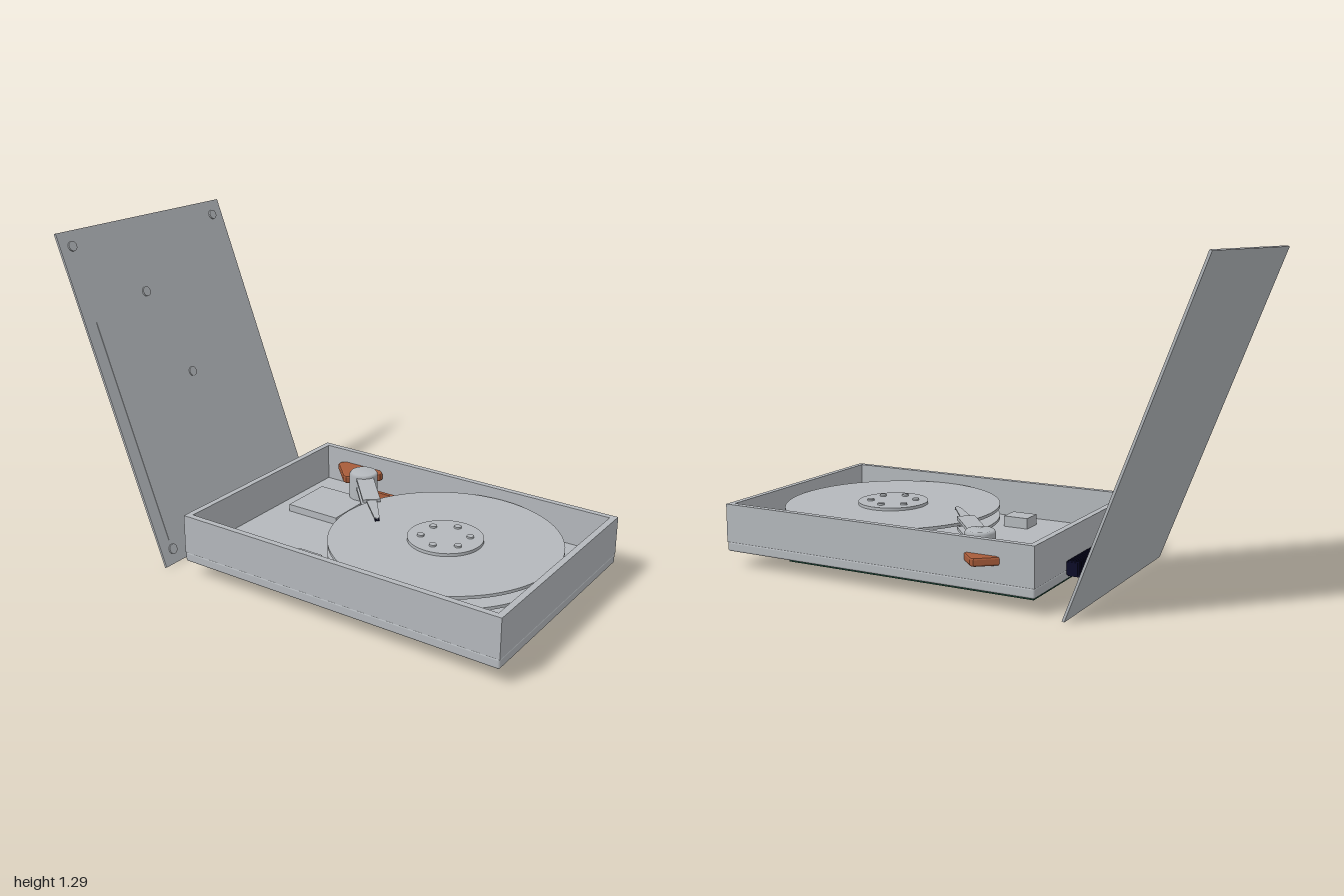
import * as THREE from 'three';
import { RoundedBoxGeometry } from 'three/addons/geometries/RoundedBoxGeometry.js';

export function createModel() {
  const root = new THREE.Group();
  const material = (name, color) => {
    const m = new THREE.MeshStandardMaterial({ color });
    m.name = name;
    return m;
  };
  const metal = material('aluminium grey', 0xb4b8bc);
  const copper = material('copper', 0xa85c3a);
  const green = material('circuit green', 0x14382a);
  const navy = material('connector navy', 0x0c0c28);

  const add = (parent, name, geometry, mat, x = 0, y = 0, z = 0) => {
    const mesh = new THREE.Mesh(geometry, mat);
    mesh.name = name;
    mesh.position.set(x, y, z);
    parent.add(mesh);
    return mesh;
  };
  // Box given by its limits on each axis
  const box = (parent, name, mat, [x0, x1], [y0, y1], [z0, z1], r = 0) => {
    const s = [x1 - x0, y1 - y0, z1 - z0];
    const g = r ? new RoundedBoxGeometry(...s, 2, r) : new THREE.BoxGeometry(...s);
    return add(parent, name, g, mat, (x0 + x1) / 2, (y0 + y1) / 2, (z0 + z1) / 2);
  };
  // Flat outline in x and z, extruded downwards from y = 0
  const plate = (points, depth, bevel = 0) => {
    const shape = new THREE.Shape(points.map(p => new THREE.Vector2(...p)));
    return new THREE.ExtrudeGeometry(shape, {
      depth, bevelEnabled: bevel > 0, bevelSize: bevel, bevelThickness: bevel, bevelSegments: 2, bevelOffset: -bevel
    }).rotateX(Math.PI / 2);
  };

  // Tray: base slab and surrounding wall
  const L = -0.51, R = 0.445, B = -0.385, F = 1, wall = 0.025;
  box(root, 'baseSlab', metal, [L, R], [0.065, 0.105], [B, F], 0.008);
  const rect = (path, i) => path.moveTo(L + i, B + i).lineTo(R - i, B + i).lineTo(R - i, F - i).lineTo(L + i, F - i).closePath();
  const frame = rect(new THREE.Shape(), 0);
  frame.holes.push(rect(new THREE.Path(), wall));
  add(root, 'trayWall', new THREE.ExtrudeGeometry(frame, { depth: 0.157, bevelEnabled: false }).rotateX(Math.PI / 2), metal, 0, 0.26, 0);
  box(root, 'circuitBoard', green, [-0.475, 0.41], [0.05, 0.066], [-0.365, 0.715]);

  // Raised blocks on the tray floor
  box(root, 'magnetBlock', metal, [0.03, 0.265], [0.1, 0.135], [-0.285, -0.045]);
  box(root, 'filterBlock', metal, [-0.39, -0.3], [0.1, 0.15], [0.015, 0.125]);
  box(root, 'ribbonCable', copper, [0.232, 0.248], [0.105, 0.195], [-0.02, 0.155]);

  // Rear connectors with rows of ribs
  for (const [x0, x1, n] of [[-0.31, -0.145, 10], [-0.11, 0.175, 18]]) {
    box(root, 'connector', navy, [x0, x1], [0.086, 0.136], [-0.43, -0.383]);
    const step = (x1 - x0) / n;
    for (let i = 0; i < n; i++) {
      const x = x0 + (i + 0.5) * step;
      box(root, 'connectorRib', navy, [x - step * 0.3, x + step * 0.3], [0.081, 0.141], [-0.436, -0.39]);
    }
  }

  // Platters, spindle and clamp screws
  const spindle = new THREE.Group();
  spindle.name = 'platterStack';
  spindle.position.set(-0.035, 0, 0.51);
  root.add(spindle);
  const cyl = (r, h, n = 48) => new THREE.CylinderGeometry(r, r, h, n);
  for (const y of [0.163, 0.213]) add(spindle, 'platter', cyl(0.448, 0.012, 96), metal, 0, y, 0);
  add(spindle, 'spindleHub', cyl(0.13, 0.12), metal, 0, 0.16, 0);
  add(spindle, 'hubClamp', cyl(0.146, 0.012, 64), metal, 0, 0.225, 0);
  for (let i = 0; i < 6; i++) {
    const a = i * Math.PI / 3;
    add(spindle, 'clampScrew', cyl(0.014, 0.008, 20), metal, 0.094 * Math.cos(a), 0.234, 0.094 * Math.sin(a));
  }

  // Actuator: pivot, two swing arms with heads
  const actuator = new THREE.Group();
  actuator.name = 'actuator';
  actuator.position.set(0.285, 0, -0.08);
  actuator.rotation.y = Math.atan2(-0.655, -0.756);
  root.add(actuator);
  const profile = [[0, 0.1], [0.056, 0.1], [0.06, 0.105], [0.06, 0.238], [0.052, 0.248], [0, 0.248]];
  add(actuator, 'pivot', new THREE.LatheGeometry(profile.map(p => new THREE.Vector2(...p)), 40), metal);
  for (const y of [0.236, 0.194]) {
    add(actuator, 'swingArm', plate([[0, -0.036], [0.27, -0.036], [0.27, 0.036], [0, 0.036]], 0.012), metal, 0, y, 0);
    add(actuator, 'armTip', plate([[0.26, -0.022], [0.43, -0.011], [0.45, 0], [0.43, 0.011], [0.26, 0.022]], 0.006), metal, 0, y - 0.003, 0);
    box(actuator, 'readHead', navy, [0.425, 0.448], [y - 0.014, y - 0.006], [-0.009, 0.009]);
  }

  // Voice coil passing through the side wall
  const coil = [[0.282, -0.17], [0.29, -0.19], [0.39, -0.285], [0.413, -0.285], [0.505, -0.172], [0.502, -0.155], [0.405, -0.062], [0.385, -0.062]];
  add(root, 'voiceCoil', plate(coil, 0.018, 0.008), copper, 0, 0.195, 0);

  // Cover leaning back behind the tray, with a raised panel and screws
  const lid = new THREE.Group();
  lid.name = 'cover';
  lid.position.set(0, 0.647, -0.745);
  lid.rotation.x = -Math.atan2(0.5, 1.295);
  root.add(lid);
  const along = y => (y - 0.647) * 1.388 / 1.295;
  box(lid, 'coverPlate', metal, [L, R], [-0.692, 0.692], [-0.005, 0.005]);
  box(lid, 'coverPanel', metal, [-0.455, 0.39], [along(0.09), along(0.945)], [0.004, 0.007]);
  for (const [x, y] of [[-0.45, 1.235], [0.382, 1.235], [-0.147, 1.005], [-0.035, 0.655], [-0.45, 0.055], [0.382, 0.055]]) {
    add(lid, 'coverScrew', cyl(0.02, 0.01, 24).rotateX(Math.PI / 2), metal, x, along(y), 0.007);
  }
  return root;
}
